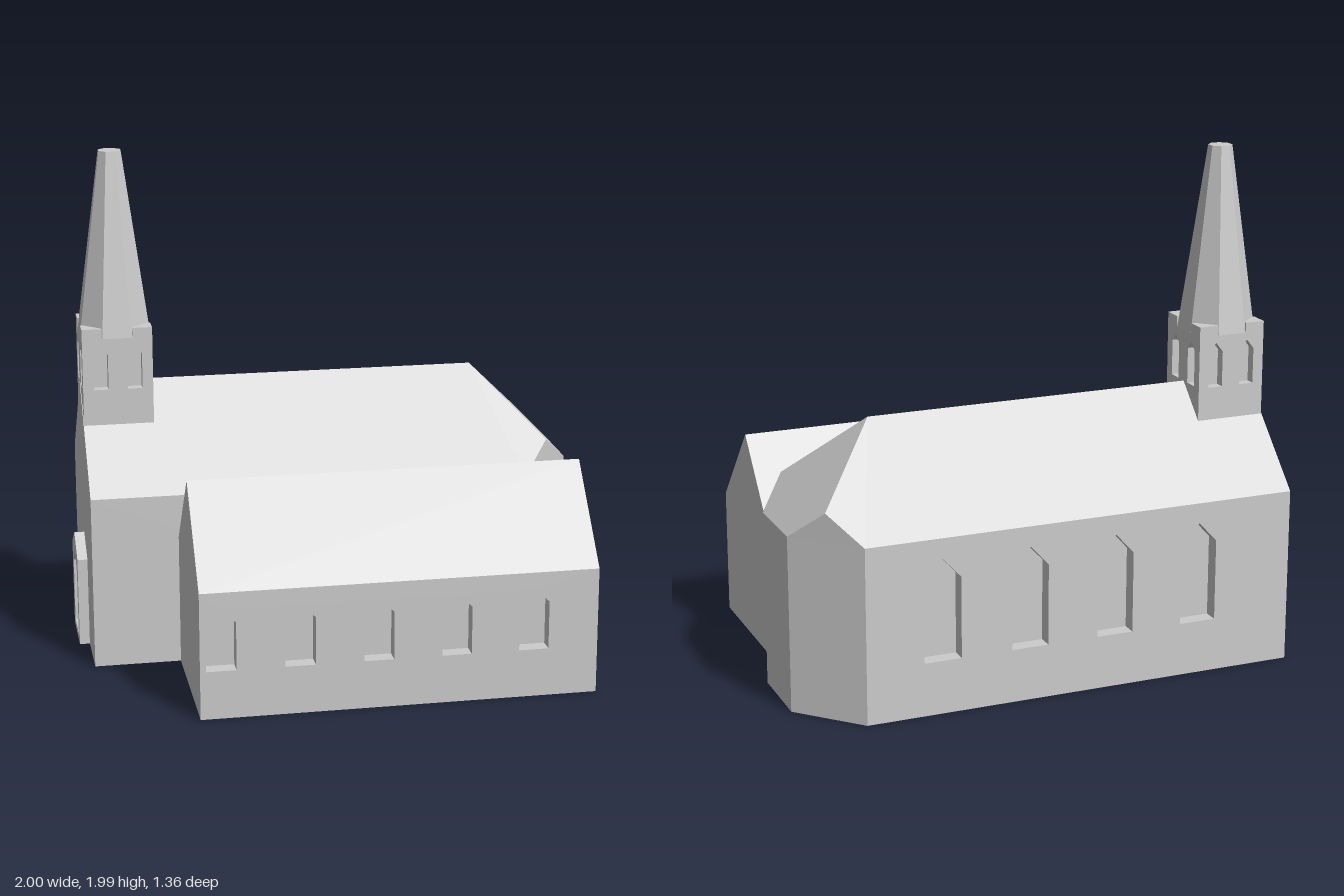
import * as THREE from 'three';
import { ConvexGeometry } from 'three/addons/geometries/ConvexGeometry.js';

const stone = new THREE.MeshStandardMaterial({ color: 0xcccccc });
stone.name = 'pale stone';

const DEPTH = 0.06; // window recess
const MID = -0.3; // z of the nave ridge

function mesh(name, geometry) {
  const m = new THREE.Mesh(geometry, stone);
  m.name = name;
  return m;
}

function polygon(points, Type = THREE.Shape) {
  return new Type(points.map(([x, y]) => new THREE.Vector2(x, y)));
}

function extrude(shape, depth) {
  return new THREE.ExtrudeGeometry(shape, { depth, bevelEnabled: false });
}

// Pointed opening outline, centred on x
function lancet(x, width, sill, shoulder, apex) {
  const h = width / 2;
  return polygon([[x - h, sill], [x + h, sill], [x + h, shoulder], [x, apex], [x - h, shoulder]], THREE.Path);
}

// Rectangular wall plate pierced by openings
function wall(x0, x1, y0, y1, depth, holes) {
  const shape = polygon([[x0, y0], [x1, y0], [x1, y1], [x0, y1]]);
  shape.holes.push(...holes);
  return extrude(shape, depth);
}

function buildNave() {
  const g = new THREE.Group();
  g.name = 'nave';
  // Plan of the walls, stepped in behind the pierced back wall
  const plan = [[-0.96, 0.08], [0.78, 0.08], [1, -0.15], [1, -0.45], [0.78, -0.68],
    [0.7, -0.68], [0.7, -0.68 + DEPTH], [-0.96, -0.68 + DEPTH]];
  const body = extrude(polygon(plan.map(([x, z]) => [x, -z])), 0.69);
  body.rotateX(-Math.PI / 2);
  g.add(mesh('naveWalls', body));

  const holes = [0.48, 0.13, -0.22, -0.57].map((x) => lancet(x, 0.147, 0.21, 0.53, 0.61));
  const back = wall(-0.96, 0.7, 0, 0.69, DEPTH, holes);
  back.translate(0, 0, -0.68);
  g.add(mesh('naveBackWall', back));

  // Gable at one end, hip clipped by the angled walls at the other
  const pts = [[-0.96, 1.065, 0], [0.63, 1.065, 0]];
  for (const s of [-1, 1]) {
    pts.push([-0.96, 0.69, 0.38 * s], [0.78, 0.69, 0.38 * s], [1, 0.69, 0.15 * s], [0.89, 0.802, 0.266 * s]);
  }
  g.add(mesh('naveRoof', new ConvexGeometry(pts.map(([x, y, z]) => new THREE.Vector3(x, y, z + MID)))));
  return g;
}

function buildAisle() {
  const g = new THREE.Group();
  g.name = 'sideAisle';
  const inner = 0.68 - DEPTH;
  const section = [[0.08, 0], [inner, 0], [inner, 0.5], [0.68, 0.5], [0.367, 0.84], [0.08, 0.52]];
  const body = extrude(polygon(section.map(([z, y]) => [-z, y])), 1.53);
  body.rotateY(Math.PI / 2).translate(-0.62, 0, 0);
  g.add(mesh('aisleBodyAndRoof', body));

  const holes = [-0.54, -0.24, 0.06, 0.36, 0.66].map((x) => lancet(x, 0.115, 0.19, 0.38, 0.432));
  const front = wall(-0.62, 0.91, 0, 0.5, DEPTH, holes);
  front.translate(0, 0, inner);
  g.add(mesh('aisleFrontWall', front));
  return g;
}

function buildTower() {
  const g = new THREE.Group();
  g.name = 'tower';
  const half = 0.138, thick = 0.04, bottom = 0.8, top = 1.27;
  const core = new THREE.BoxGeometry(2 * (half - thick), top - bottom, 2 * (half - thick));
  core.translate(0, (top + bottom) / 2, 0);
  g.add(mesh('towerCore', core));

  for (let i = 0; i < 4; i++) {
    const holes = [-0.067, 0.067].map((x) => lancet(x, 0.058, 1.065, 1.205, 1.242));
    const side = wall(-half, half, bottom, top, thick, holes);
    side.translate(0, 0, half - thick).rotateY((i * Math.PI) / 2);
    g.add(mesh('towerWall', side));

    // Raised corner beside the spire foot
    const corner = new THREE.BoxGeometry(0.078, 0.04, 0.078);
    corner.translate(half - 0.039, 1.29, half - 0.039).rotateY((i * Math.PI) / 2);
    g.add(mesh('towerCorner', corner));
  }

  // Eight-sided spire with a blunt tip, flats square to the walls
  const k = 1 / Math.cos(Math.PI / 8);
  const spire = new THREE.CylinderGeometry(0.043 * k, half * k, 0.72, 8).toNonIndexed();
  spire.rotateY(Math.PI / 8).translate(0, 1.63, 0);
  spire.computeVertexNormals();
  g.add(mesh('spire', spire));
  g.position.set(-0.82, 0, -0.293);
  return g;
}

function buildPorch() {
  const shape = polygon([[-0.127, 0], [0.127, 0], [0.127, 0.36], [0, 0.435], [-0.127, 0.36]]);
  shape.holes.push(lancet(0, 0.16, 0.03, 0.29, 0.365));
  const porch = extrude(shape, 0.04);
  porch.rotateY(-Math.PI / 2).translate(-0.96, 0, MID + 0.004);
  return mesh('porch', porch);
}

export function createModel() {
  const model = new THREE.Group();
  model.name = 'church';
  model.add(buildNave(), buildAisle(), buildTower(), buildPorch());
  return model;
}
